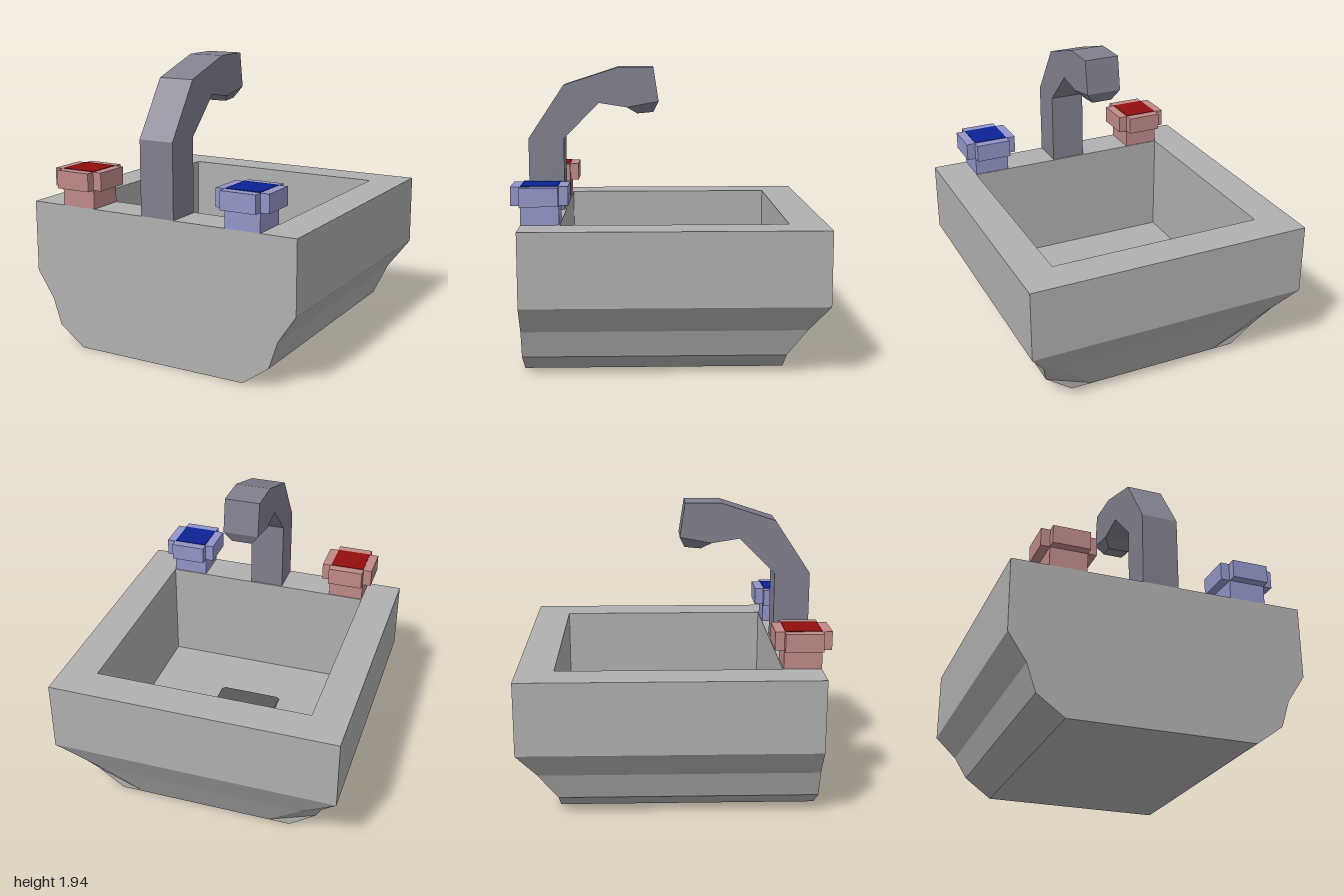
import * as THREE from 'three';

const mat = (name, color) => {
  const m = new THREE.MeshStandardMaterial({ color });
  m.name = name;
  return m;
};

// Flat-shaded shell; each face is oriented away from (or towards) a centre point
function shell(centre) {
  const pos = [];
  const c = new THREE.Vector3(...centre);
  const face = (pts, inward = false) => {
    const v = pts.map(p => new THREE.Vector3(...p));
    for (let i = 1; i < v.length - 1; i++) {
      const t = [v[0], v[i], v[i + 1]];
      const n = t[1].clone().sub(t[0]).cross(t[2].clone().sub(t[0]));
      const mid = t[0].clone().add(t[1]).add(t[2]).divideScalar(3).sub(c);
      if ((n.dot(mid) < 0) !== inward) t.reverse();
      t.forEach(p => pos.push(p.x, p.y, p.z));
    }
  };
  const build = () => {
    const g = new THREE.BufferGeometry();
    g.setAttribute('position', new THREE.Float32BufferAttribute(pos, 3));
    g.computeVertexNormals();
    return g;
  };
  return { face, build };
}

const flip = ([x, y, z]) => [-x, y, z];
const atZ = ([x, y], z) => [x, y, z];

function sinkGeometry() {
  const { face, build } = shell([0, 0.5, 0]);
  const both = (pts, inward) => { face(pts, inward); face(pts.map(flip), inward); };
  const span = (a, b, inward) => face([a, b, flip(b), flip(a)], inward);
  const front = 0.94;
  // Side outline with the z where each row ends at the back
  const side = [[0.97, 0.97, -1], [0.97, 0.49, -1], [0.85, 0.31, -0.875], [0.79, 0.13, -0.75], [0.61, 0, -0.75]];
  const back = [[0.73, 0.49, -1], [0.71, 0.25, -0.87], [0.46, 0, -0.75]];
  for (let i = 0; i < 4; i++) {
    const a = side[i], b = side[i + 1];
    both([a, b, atZ(b, front), atZ(a, front)]);
    span(atZ(a, front), atZ(b, front));
  }
  // Back wall and underside
  span(side[0], side[1]);
  span(back[0], back[1]);
  span(back[1], back[2]);
  span(side[4], atZ(side[4], front));
  // Bevelled lower back corners
  both([side[1], back[0], back[1]]);
  both([side[1], back[1], side[2]]);
  both([side[2], back[1], side[3]]);
  both([side[3], back[1], back[2]]);
  both([side[3], back[2], side[4]]);
  // Rim and basin
  const X = 0.73, z0 = -0.76, z1 = 0.69, top = 0.97, floor = 0.25;
  span([0.97, top, -1], [0.97, top, z0]);
  span([0.97, top, z1], [0.97, top, front]);
  both([[X, top, z0], [0.97, top, z0], [0.97, top, z1], [X, top, z1]]);
  both([[X, top, z0], [X, floor, z0], [X, floor, z1], [X, top, z1]], true);
  span([X, top, z0], [X, floor, z0], true);
  span([X, top, z1], [X, floor, z1], true);
  span([X, floor, z0], [X, floor, z1], true);
  return build();
}

// Tapered outlet under the spout
function nozzleGeometry() {
  const { face, build } = shell([0, 1.67, 0.15]);
  const upper = [[0.12, 1.67, 0.27], [0.12, 1.71, 0.055], [-0.12, 1.71, 0.055], [-0.12, 1.67, 0.27]];
  const lower = [[0.07, 1.625, 0.2], [0.07, 1.635, 0.09], [-0.07, 1.635, 0.09], [-0.07, 1.625, 0.2]];
  face(lower);
  for (let i = 0; i < 4; i++) {
    const j = (i + 1) % 4;
    face([upper[i], upper[j], lower[j], lower[i]]);
  }
  return build();
}

const polygon = pts => new THREE.Shape(pts.map(p => new THREE.Vector2(...p)));
const extrude = (shape, depth) => new THREE.ExtrudeGeometry(shape, { depth, bevelEnabled: false });

export function createModel() {
  const model = new THREE.Group();
  model.name = 'sink';
  const ceramic = mat('grey ceramic', 0xb0b0b0);
  const metal = mat('blue grey metal', 0x80808e);
  const dark = mat('dark drain', 0x595855);
  const add = (parent, name, geometry, material, x = 0, y = 0, z = 0) => {
    const m = new THREE.Mesh(geometry, material);
    m.name = name;
    m.position.set(x, y, z);
    parent.add(m);
    return m;
  };

  add(model, 'basin', sinkGeometry(), ceramic);

  // Drain plate with clipped corners
  const r = 0.225, k = 0.205;
  const drain = extrude(polygon([[r, -k], [r, k], [k, r], [-k, r], [-r, k], [-r, -k], [-k, -r], [k, -r]]), 0.008);
  drain.rotateX(-Math.PI / 2);
  add(model, 'drain', drain, dark, -0.017, 0.25, 0.045);

  // Faucet: side profile in (-z, y), extruded across x
  const faucet = extrude(polygon([
    [-0.94, 0.97], [-0.7, 0.97], [-0.7, 1.46], [-0.46, 1.7], [-0.27, 1.67],
    [-0.055, 1.71], [-0.09, 1.94], [-0.33, 1.94], [-0.7, 1.82], [-0.94, 1.46],
  ]), 0.24);
  faucet.translate(0, 0, -0.12).rotateY(Math.PI / 2);
  add(model, 'faucet', faucet, metal);
  add(model, 'nozzle', nozzleGeometry(), metal);

  // Taps with plus-shaped caps and a coloured plate on top
  const a = 0.122, b = 0.181;
  const cap = extrude(polygon([
    [a, -b], [a, -a], [b, -a], [b, a], [a, a], [a, b],
    [-a, b], [-a, a], [-b, a], [-b, -a], [-a, -a], [-a, -b],
  ]), 0.12);
  cap.rotateX(-Math.PI / 2);
  const taps = [
    ['hotTap', -0.608, mat('pale red', 0xbf8a88), mat('deep red', 0x930e0e)],
    ['coldTap', 0.605, mat('pale blue', 0x9195c8), mat('deep blue', 0x0b2294)],
  ];
  for (const [name, x, pale, deep] of taps) {
    const tap = new THREE.Group();
    tap.name = name;
    tap.position.set(x, 0.97, 0.818);
    add(tap, 'stem', new THREE.BoxGeometry(2 * a, 0.125, 2 * a), pale, 0, 0.0625, 0);
    add(tap, 'cap', cap, pale, 0, 0.125, 0);
    add(tap, 'capPlate', new THREE.BoxGeometry(0.236, 0.006, 0.236), deep, 0, 0.246, 0);
    model.add(tap);
  }
  return model;
}
